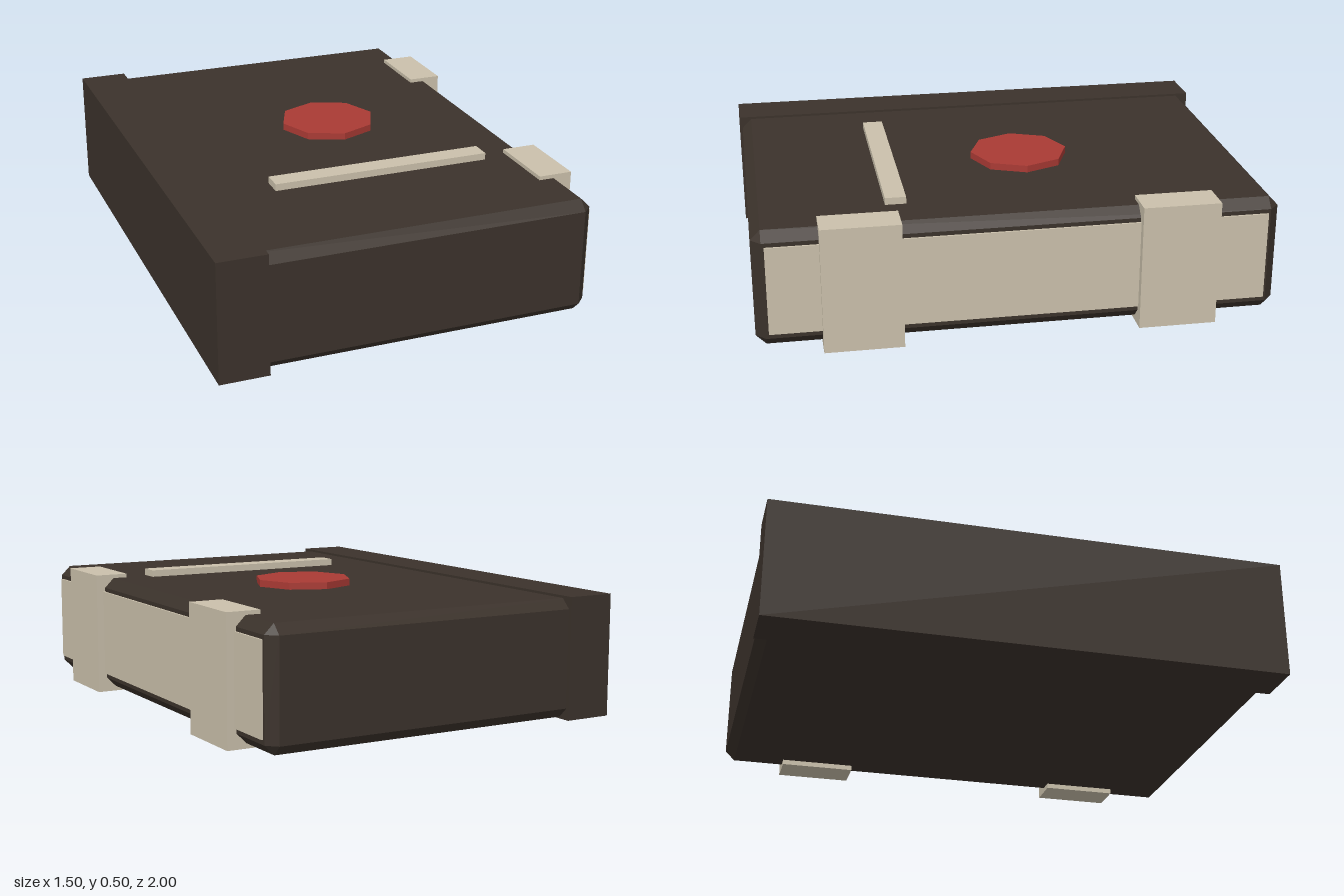
import * as THREE from 'three';
import { ConvexGeometry } from 'three/addons/geometries/ConvexGeometry.js';

const material = (name, color) => {
  const m = new THREE.MeshStandardMaterial({ color });
  m.name = name;
  return m;
};

// Box given by its minimum and maximum corners
function box(name, min, max, mat) {
  const size = max.map((v, i) => v - min[i]);
  const mesh = new THREE.Mesh(new THREE.BoxGeometry(...size), mat);
  mesh.position.set(...max.map((v, i) => (v + min[i]) / 2));
  mesh.name = name;
  return mesh;
}

// Box with every edge cut by a flat chamfer
function chamferedBox(name, min, max, c, mat) {
  const half = max.map((v, i) => (v - min[i]) / 2);
  const points = [];
  for (const sx of [-1, 1]) for (const sy of [-1, 1]) for (const sz of [-1, 1]) {
    for (let face = 0; face < 3; face++) {
      const s = [sx, sy, sz];
      points.push(new THREE.Vector3(...half.map((h, i) => s[i] * (i === face ? h : h - c))));
    }
  }
  const mesh = new THREE.Mesh(new ConvexGeometry(points), mat);
  mesh.position.set(...max.map((v, i) => (v + min[i]) / 2));
  mesh.name = name;
  return mesh;
}

export function createModel() {
  const leather = material('dark leather', 0x3b322b);
  const cream = material('cream', 0xcac0ab);
  const red = material('red', 0xa93a34);

  const book = new THREE.Group();
  book.name = 'book';

  // Cover and spine
  book.add(chamferedBox('cover', [-0.71, 0.02, -0.988], [0.71, 0.475, 0.988], 0.038, leather));
  book.add(box('spine', [-0.75, 0.013, -1], [-0.56, 0.484, 1], leather));

  // Page edges on the opening side
  book.add(box('pages', [0.6, 0.077, -0.94], [0.718, 0.421, 0.94], cream));

  // Pair of clasps
  for (const side of [-1, 1]) {
    const z = side * 0.595;
    book.add(box('clasp', [0.613, 0, z - 0.149], [0.747, 0.49, z + 0.149], cream));
  }

  // Raised bar and eight-sided seal on the top cover
  book.add(box('titleBar', [-0.354, 0.46, 0.404], [0.514, 0.502, 0.484], cream));
  const seal = new THREE.Mesh(
    new THREE.CylinderGeometry(0.194, 0.194, 0.042, 8).toNonIndexed(), red);
  seal.geometry.computeVertexNormals();
  seal.position.set(0.08, 0.481, -0.102);
  seal.name = 'seal';
  book.add(seal);

  return book;
}
